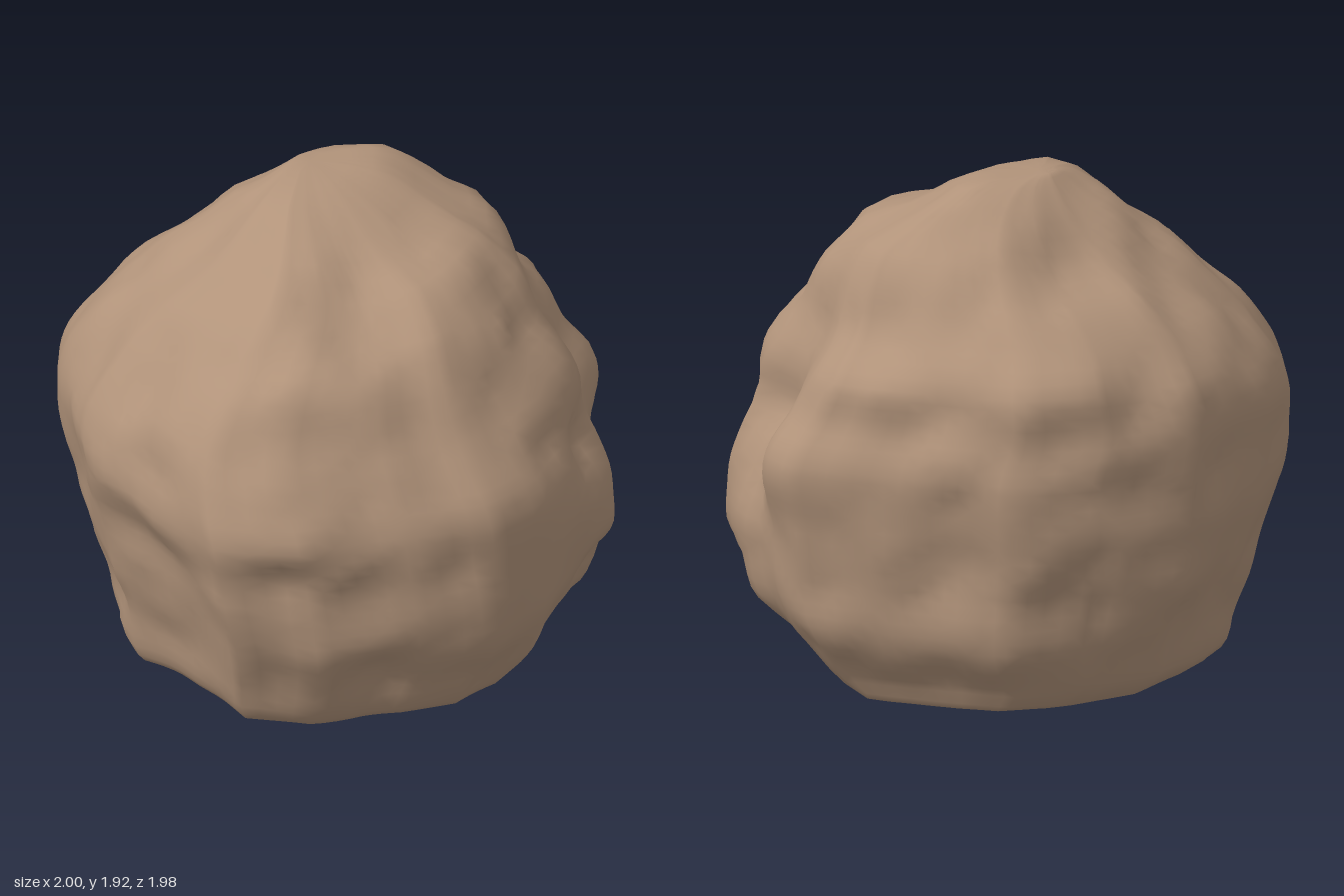
import * as THREE from 'three';

// Plan outline at the widest girth, as x, z pairs running from -x round the back
const OUTLINE = [
  [-1, .22], [-.92, 0], [-.84, -.26], [-.78, -.5], [-.6, -.68], [-.5, -.82], [-.33, -.95], [-.08, -.99],
  [.14, -.96], [.34, -.93], [.55, -.79], [.68, -.68], [.86, -.45], [.91, -.25], [.95, -.03], [.99, .2], [1, .38],
  [.9, .52], [.78, .62], [.56, .87], [.25, .94], [0, .98], [-.27, .94], [-.5, .78], [-.63, .65], [-.84, .49],
];

// Extents at each height: y, min x, max x, min z, max z
const LEVELS = [
  [0, -.27, .62, -.2, .5], [.03, -.48, .72, -.58, .58], [.1, -.71, .76, -.75, .74], [.3, -.79, .89, -.83, .86],
  [.47, -.85, .93, -.9, .95], [.7, -.92, .96, -.94, .97], [.96, -.99, .99, -.97, .98], [1.12, -.96, .94, -.98, .9],
  [1.27, -.9, .92, -.92, .79], [1.4, -.81, .82, -.83, .73], [1.58, -.63, .7, -.64, .62], [1.72, -.45, .58, -.48, .48],
  [1.83, -.26, .45, -.33, .22], [1.89, -.13, .33, -.26, .06], [1.92, .05, .2, -.22, -.1],
];

// Local hollows (negative) and bulges (positive): x, y, z, radius, depth
const DENTS = [
  // Front face and the notch at its left
  [.42, .94, .85, .13, -.11], [.3, 1.22, .75, .18, .04], [.15, .7, .97, .2, .01], [-.38, .76, .9, .12, -.03],
  [.65, 1.02, .68, .19, -.17], [.62, 1.25, .56, .18, -.06], [.68, .62, .7, .15, .04], [.66, .36, .72, .16, .05],
  [.48, .42, .88, .11, -.06], [-.6, .34, .66, .13, -.08], [-.66, .45, .62, .28, .07], [.93, .9, .48, .15, .03],
  // Slanting slab and the ridge beside the crown
  [-.24, 1.74, .34, .32, -.08], [-.55, 1.45, .48, .2, .04], [.32, 1.84, 0, .18, .04], [.52, 1.6, .3, .15, .04],
  [.68, 1.42, .2, .15, -.06], [.4, 1.7, -.4, .2, -.06],
  // Back, sides and foot
  [.68, 1.32, -.6, .16, .03], [-.85, .8, .45, .13, -.05], [-.55, .16, -.55, .24, .06], [.5, .04, .58, .2, -.06],
  [-.25, .5, -.9, .16, -.02],
];

// Repeatable value noise in three dimensions
function hash(i, j, k) {
  const s = Math.sin(i * 127.1 + j * 311.7 + k * 74.7) * 43758.5453;
  return (s - Math.floor(s)) * 2 - 1;
}
function noise(x, y, z) {
  const i = Math.floor(x), j = Math.floor(y), k = Math.floor(z);
  let sum = 0;
  for (let c = 0; c < 8; c++) {
    const a = c & 1, b = (c >> 1) & 1, d = c >> 2;
    const w = (a ? x - i : 1 - x + i) * (b ? y - j : 1 - y + j) * (d ? z - k : 1 - z + k);
    sum += w * hash(i + a, j + b, k + d);
  }
  return sum;
}

// Push a surface point in or out with dents and broken-rock roughness
function weather(p) {
  const out = new THREE.Vector3(p.x, (p.y - .9) * .9, p.z).normalize();
  // Slanted axes keep the broken facets from lining up with the rings
  const u = p.x * .8 + p.y * .5 + p.z * .33, v = p.y * .8 - p.x * .6, w = p.z * .94 - p.x * .2 - p.y * .27;
  const rough = .026 * noise(u * 4 + 3, v * 4, w * 4) + .026 * noise(u * 6.5, v * 6.5 + 5, w * 6.5);
  // The foot, crown and widest points stay where they are
  const reach = Math.max(Math.abs(p.x), Math.abs(p.z));
  const calm = Math.min(1, p.y / .25, (1.92 - p.y) / .15, .1 + Math.max(0, 1 - reach) * 9);
  let d = rough * calm;
  for (const [x, y, z, r, depth] of DENTS) {
    const q = ((p.x - x) ** 2 + (p.y - y) ** 2 + (p.z - z) ** 2) / (r * r);
    d += depth * Math.exp(-q * 1.3);
  }
  p.addScaledVector(out, d);
  p.y = THREE.MathUtils.clamp(p.y, 0, 1.92);
  return p;
}

function boulderGeometry() {
  const pos = [], index = [], split = 4, n = OUTLINE.length * split;
  const { lerp } = THREE.MathUtils;
  // Smooth height profiles: one curve for the x extents, one for the z extents
  const across = new THREE.CatmullRomCurve3(LEVELS.map(([y, x0, x1]) => new THREE.Vector3(x0, y, x1)), false, 'centripetal');
  const along = new THREE.CatmullRomCurve3(LEVELS.map(([y, , , z0, z1]) => new THREE.Vector3(z0, y, z1)), false, 'centripetal');
  const spans = LEVELS.length - 1, rows = [];
  for (let i = 0; i < spans; i++) {
    const steps = Math.max(2, Math.round((LEVELS[i + 1][0] - LEVELS[i][0]) / .04));
    for (let s = 0; s < steps; s++) rows.push((i + s / steps) / spans);
  }
  rows.push(1);
  const add = (x, y, z) => pos.push(...weather(new THREE.Vector3(x, y, z)).toArray());

  // Rings from the base upward
  for (const f of rows) {
    const X = across.getPoint(f), Z = along.getPoint(f);
    for (let k = 0; k < n; k++) {
      const i = Math.floor(k / split), t = (k % split) / split;
      const a = OUTLINE[i], b = OUTLINE[(i + 1) % OUTLINE.length];
      const s = (lerp(a[0], b[0], t) + 1) / 2, q = (lerp(a[1], b[1], t) + .99) / 1.97;
      add(lerp(X.x, X.z, s), (X.y + Z.y) / 2, lerp(Z.x, Z.z, q));
    }
  }
  for (let r = 0; r < rows.length - 1; r++) {
    for (let k = 0; k < n; k++) {
      const a = r * n + k, b = r * n + (k + 1) % n, c = a + n, d = b + n;
      if ((r + k) % 2) index.push(a, c, b, b, c, d);
      else index.push(a, d, b, a, c, d);
    }
  }

  // Base and crown caps
  const base = pos.length / 3, last = (rows.length - 1) * n;
  add(.17, 0, .15);
  add(.13, 1.92, -.16);
  for (let k = 0; k < n; k++) {
    const m = (k + 1) % n;
    index.push(base, k, m, base + 1, last + m, last + k);
  }

  const g = new THREE.BufferGeometry();
  g.setAttribute('position', new THREE.Float32BufferAttribute(pos, 3));
  g.setIndex(index);
  g.computeVertexNormals();
  return g;
}

export function createModel() {
  const group = new THREE.Group();
  group.name = 'boulder';
  const stone = new THREE.MeshStandardMaterial({ color: 0xb1937a });
  stone.name = 'brown stone';
  const rock = new THREE.Mesh(boulderGeometry(), stone);
  rock.name = 'rock';
  group.add(rock);
  return group;
}
